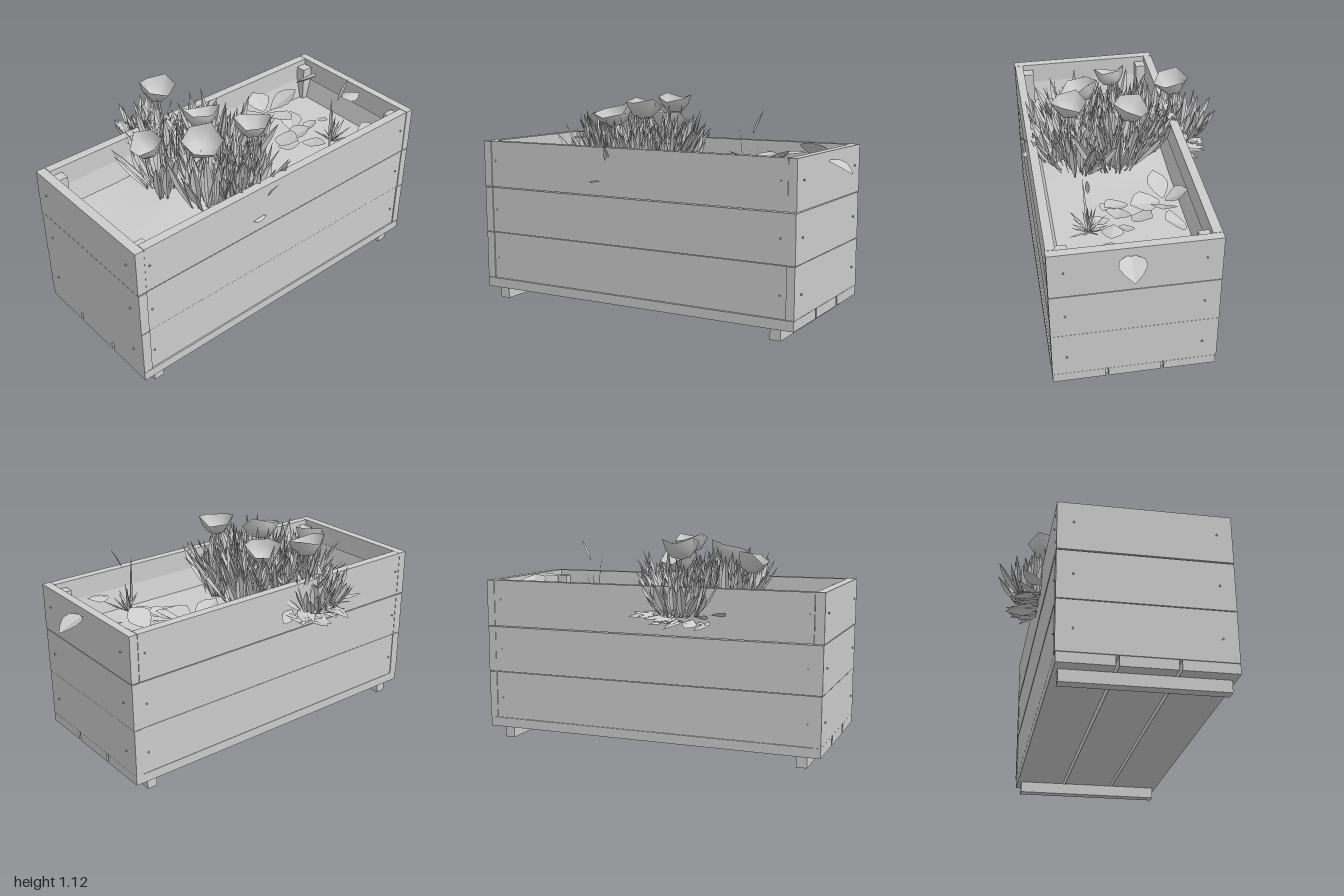
import * as THREE from 'three';
import { mergeGeometries } from 'three/addons/utils/BufferGeometryUtils.js';

const wood = new THREE.MeshStandardMaterial({ color: 0xcccccc, flatShading: true });
const thin = new THREE.MeshStandardMaterial({ color: 0xcccccc, flatShading: true, side: THREE.DoubleSide });
const petal = new THREE.MeshStandardMaterial({ color: 0xcccccc, side: THREE.DoubleSide });

let seed = 11;
const rnd = () => (seed = (seed * 16807) % 2147483647) / 2147483647;
const range = (a, b) => a + (b - a) * rnd();

// Tapered leaf along +y from the origin: folded on its midrib and curled towards +z.
function leafGeometry(length, width, curl, fold, peak = 0.8) {
  const g = new THREE.PlaneGeometry(1, 1, 2, 4);
  const p = g.attributes.position;
  for (let i = 0; i < p.count; i++) {
    const t = p.getY(i) + 0.5, u = p.getX(i);
    const w = width * (0.12 * (1 - t) + Math.sin(Math.PI * Math.pow(t, peak)));
    p.setXYZ(i, u * w, t * length, curl * length * t * t + Math.abs(u) * w * fold);
  }
  return g;
}

// Places a geometry: tilt from vertical by lean towards heading, after spinning about its own axis.
function place(g, x, y, z, heading, lean, spin = 0) {
  return g.rotateY(spin).rotateX(lean).rotateY(heading).translate(x, y, z);
}

export function createModel() {
  const root = new THREE.Group();
  root.name = 'flowerBox';

  const add = (parent, name, geometry, material = wood) => {
    const m = new THREE.Mesh(geometry, material);
    m.name = name;
    parent.add(m);
    return m;
  };

  // Box given by its limits
  const slab = (parent, name, x0, x1, y0, y1, z0, z1) => {
    const m = add(parent, name, new THREE.BoxGeometry(x1 - x0, y1 - y0, z1 - z0));
    m.position.set((x0 + x1) / 2, (y0 + y1) / 2, (z0 + z1) / 2);
    return m;
  };

  const crate = new THREE.Group();
  crate.name = 'crate';
  root.add(crate);

  // Runners and floor planks
  for (const x of [-0.905, 0.735]) slab(crate, 'runner', x, x + 0.055, 0, 0.06, -0.315, 0.47);
  for (const z of [-0.335, -0.055, 0.225]) slab(crate, 'floorPlank', -0.975, 0.865, 0.06, 0.11, z, z + 0.265);

  // Three courses of wall boards with nails
  const nailGeo = new THREE.CylinderGeometry(0.005, 0.005, 0.012, 6);
  [[0.112, 0.367], [0.37, 0.616], [0.621, 0.87]].forEach(([y0, y1], row) => {
    const shift = (row - 1) * 0.002;
    slab(crate, 'frontBoard', -0.93, 0.825, y0, y1, 0.44 + shift, 0.486 + shift);
    slab(crate, 'backBoard', -0.93, 0.825, y0, y1, -0.337 - shift, -0.29 - shift);
    slab(crate, 'leftBoard', 0.825 + shift, 0.868 + shift, y0, y1, -0.339, 0.49);
    slab(crate, 'rightBoard', -0.978 - shift, -0.93 - shift, y0, y1, -0.339, 0.49);
    const y = 0.225 + row * 0.27;
    for (const z of [-0.26, 0.415]) for (const x of [-0.979 - shift, 0.869 + shift]) {
      const n = add(crate, 'nail', nailGeo);
      n.rotation.z = Math.PI / 2;
      n.position.set(x, y, z);
    }
    for (const x of [-0.905, 0.79]) for (const z of [-0.337 - shift, 0.486 + shift]) {
      const n = add(crate, 'nail', nailGeo);
      n.rotation.x = Math.PI / 2;
      n.position.set(x, y, z);
    }
  });

  // Corner posts inside
  for (const x of [-0.925, 0.76]) for (const z of [-0.29, 0.385])
    slab(crate, 'cornerPost', x, x + 0.06, 0.11, 0.84, z, z + 0.055);

  // Lining that slopes from the walls in to the soil
  const corners = [[-1, -1], [1, -1], [1, 1], [-1, 1], [-1, -1]];
  const ring = (hx, hz, y) => corners.flatMap(([sx, sz]) => [-0.0525 + sx * hx, y, 0.075 + sz * hz]);
  const lining = new THREE.BufferGeometry();
  lining.setAttribute('position', new THREE.Float32BufferAttribute(
    [...ring(0.872, 0.362, 0.76), ...ring(0.84, 0.332, 0.64)], 3));
  lining.setIndex([0, 1, 2, 3].flatMap(i => [i, i + 5, i + 1, i + 1, i + 5, i + 6]));
  lining.computeVertexNormals();
  add(crate, 'lining', lining, thin);

  // Soil with a gentle mound under the plant
  const soil = new THREE.PlaneGeometry(1.7, 0.68, 20, 8).rotateX(-Math.PI / 2).translate(-0.0525, 0, 0.075);
  const sp = soil.attributes.position;
  for (let i = 0; i < sp.count; i++) {
    const d = Math.hypot(sp.getX(i) + 0.27, sp.getZ(i) - 0.05);
    sp.setY(i, 0.65 + 0.05 * Math.max(0, 1 - d / 0.4));
  }
  soil.computeVertexNormals();
  add(root, 'soil', soil, petal);

  // Cup flowers on stems: [x, rim height, z, radius, tilt x, tilt z]
  const flowers = [
    [-0.24, 1.095, -0.31, 0.095, 0.12, -0.05],
    [-0.09, 1.095, 0.26, 0.095, -0.1, -0.1],
    [-0.34, 1.04, 0.18, 0.105, 0.35, 0.15],
    [-0.54, 1.01, -0.02, 0.085, 0.1, 0.4],
    [-0.14, 1.01, -0.08, 0.1, -0.3, -0.15],
  ];
  const cup = [[0.012, -0.09], [0.5, -0.078], [0.82, -0.04], [1, 0]];
  for (const [x, y, z, radius, tx, tz] of flowers) {
    const flower = new THREE.Group();
    flower.name = 'flower';
    flower.position.set(x, y, z);
    root.add(flower);
    const g = new THREE.LatheGeometry(cup.map(([r, h]) => new THREE.Vector2(r * radius, h)), 6);
    const p = g.attributes.position;
    // Petal tips rise and dip around the rim
    for (let i = 0; i < p.count; i++)
      if (i % 4 === 3) p.setY(i, 0.018 * Math.sin((Math.floor(i / 4) % 6) * 2.3 + x * 9));
    const head = add(flower, 'flowerHead', g, petal);
    head.rotation.set(tx, 0, tz);
    const stem = new THREE.CatmullRomCurve3([
      new THREE.Vector3(0, -0.085, 0), new THREE.Vector3(0.01, -0.2, 0.01),
      new THREE.Vector3((-0.27 - x) * 0.35, 0.68 - y, -z * 0.2)]);
    add(flower, 'stem', new THREE.TubeGeometry(stem, 5, 0.007, 5), wood);
  }

  // Clumps of blades: [x, y, z, radius, count, longest]
  const clumps = [
    [-0.26, 0.73, -0.37, 0.1, 55, 0.22],
    [-0.25, 0.67, -0.17, 0.1, 50, 0.37],
    [-0.42, 0.67, -0.03, 0.1, 58, 0.37],
    [-0.12, 0.67, 0.02, 0.13, 75, 0.4],
    [-0.33, 0.67, 0.2, 0.1, 60, 0.38],
    [-0.1, 0.67, 0.22, 0.11, 60, 0.36],
    [-0.22, 0.67, 0.32, 0.1, 45, 0.31],
  ];
  const blades = [];
  for (const [cx, cy, cz, radius, count, longest] of clumps) {
    for (let i = 0; i < count; i++) {
      const a = range(0, Math.PI * 2), r = Math.sqrt(rnd());
      const blade = place(
        leafGeometry(longest * range(0.6, 1.02), range(0.03, 0.055), range(-0.1, 0.15), 0.4, 1.1),
        cx + Math.sin(a) * r * radius, cy, cz + Math.cos(a) * r * radius,
        a + range(-0.4, 0.4), 0.05 + r * range(0.1, 0.7), range(-0.8, 0.8));
      // Leave out blades whose tip would pierce a flower
      const tip = new THREE.Vector3().fromBufferAttribute(blade.attributes.position, 1);
      if (!flowers.some(([x, y, z, fr]) => tip.y > y - 0.085 && Math.hypot(tip.x - x, tip.z - z) < fr))
        blades.push(blade);
    }
  }
  add(root, 'blades', mergeGeometries(blades), thin);

  // Broad leaves spilling over the back edge
  const skirt = [];
  for (let i = 0; i < 24; i++) {
    const x = range(-0.43, -0.1);
    skirt.push(place(leafGeometry(range(0.1, 0.17), range(0.05, 0.08), 0.1, 0.3), x, range(0.69, 0.76), -0.345,
      Math.PI - (x + 0.26) * 3 + range(-0.6, 0.6), range(1.25, 1.7), range(-0.4, 0.4)));
  }
  add(root, 'trailingLeaves', mergeGeometries(skirt), thin);

  // Dry sprig: thin twigs fanning from one point
  const twigs = [];
  for (let i = 0; i < 20; i++)
    twigs.push(place(leafGeometry(range(0.08, 0.16), 0.014, 0.1, 0.3), 0.51, 0.7, 0.25, i * 2.4, range(0.3, 1.4)));
  for (const [h, lean, heading] of [[0.33, 0.05, -1], [0.2, 0.1, 1.4], [0.22, 0.25, 2.2]])
    twigs.push(place(leafGeometry(h, 0.014, 0.05, 0.3), 0.49, 0.67, 0.25, heading, lean));
  twigs.push(place(leafGeometry(0.13, 0.022, 0.2, 0.3), 0.53, 0.95, 0.25, 1.4, 0.3));
  add(root, 'drySprig', mergeGeometries(twigs), thin);

  // Fallen petals: [x, y, z, length, width, heading, lean]
  const litter = [
    [0.38, 0.75, -0.16, 0.13, 0.13, 3.0, 1.2], [0.36, 0.75, -0.15, 0.17, 0.11, -1.4, 1.3],
    [0.42, 0.75, -0.15, 0.18, 0.13, 1.3, 1.2], [0.38, 0.75, -0.13, 0.16, 0.14, 0.2, 1.6],
    [0.3, 0.69, 0.02, 0.14, 0.13, 0.4, 1.5], [0.34, 0.69, 0.06, 0.15, 0.13, 1.2, 1.4],
    [0.42, 0.7, 0.02, 0.13, 0.12, 2.4, 1.4], [0.4, 0.68, 0.13, 0.14, 0.09, 0.4, 1.5],
    [0.47, 0.69, 0.06, 0.1, 0.08, 1.5, 1.4], [0.27, 0.68, 0.08, 0.12, 0.1, 0.9, 1.5],
    [0.67, 0.81, -0.2, 0.14, 0.14, 0.3, 1.15], [0.68, 0.68, 0.28, 0.12, 0.12, 1.2, 1.4],
    [0.63, 0.68, 0.02, 0.07, 0.04, 0.2, 1.4], [0.6, 0.68, 0.2, 0.09, 0.04, 2.6, 1.4],
  ].map(([x, y, z, l, w, heading, lean]) =>
    place(leafGeometry(l, w, -0.15, -0.25, 1.1), x, y, z, heading, lean, range(-0.2, 0.2)));
  add(root, 'fallenPetals', mergeGeometries(litter), thin);

  // Stray leaves: over the left end, near its rim, and stuck to the front boards
  add(root, 'strayLeaf', place(leafGeometry(0.15, 0.13, 0.05, -0.25), 0.86, 0.825, 0.1, 1.55, 1.95), thin);
  add(root, 'rimLeaf', place(leafGeometry(0.11, 0.1, 0.1, 0.2), 0.68, 0.865, 0.15, 1.3, 1.45), thin);
  add(root, 'frontLeaf', place(leafGeometry(0.08, 0.04, 0.05, 0.2), -0.28, 0.69, 0.485, 1.4, 1.4), thin);

  return root;
}
